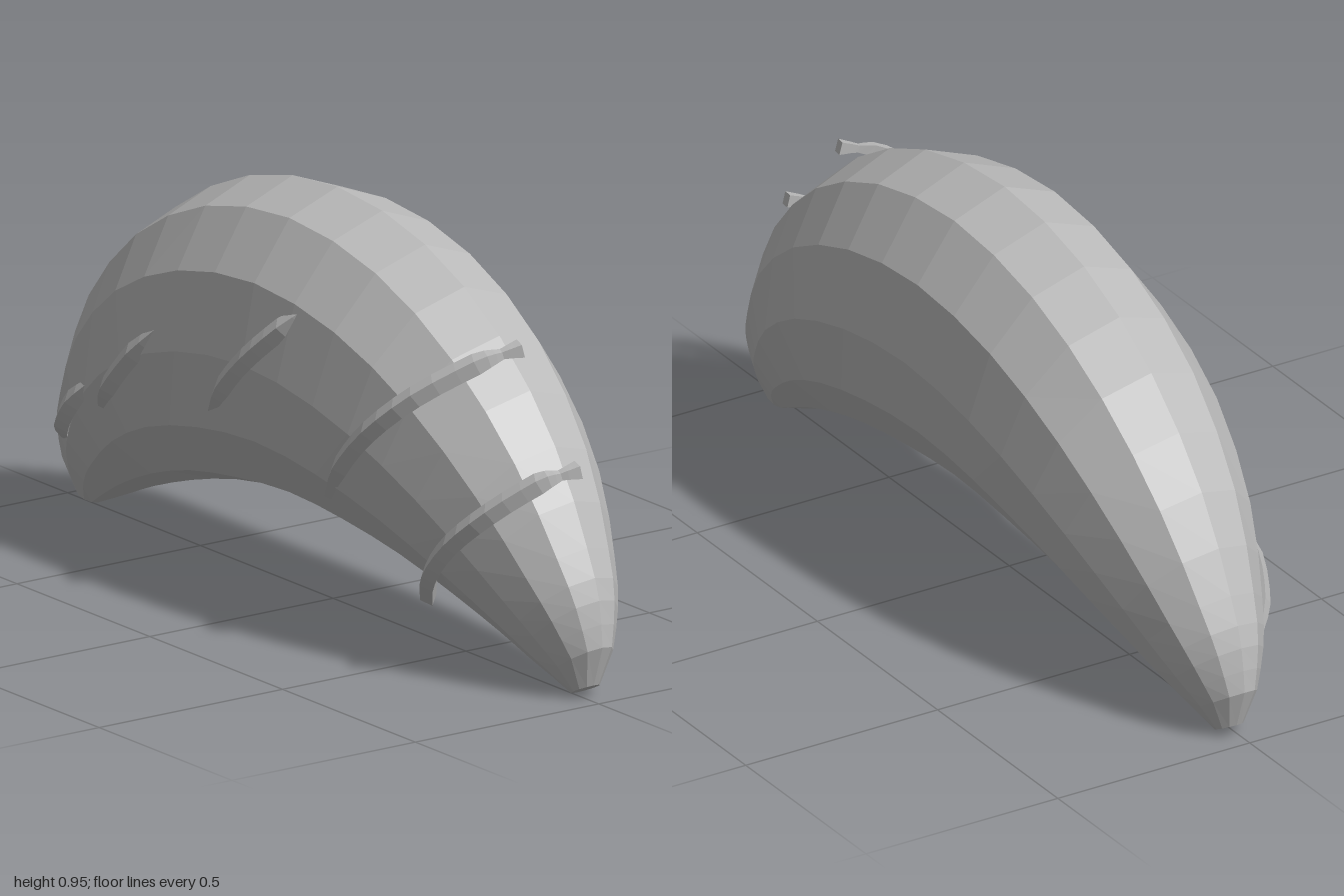
import * as THREE from 'three';

const grey = new THREE.MeshStandardMaterial({ color: 0xbababa, flatShading: true });
grey.name = 'plain grey';

// Skin a list of equal-sized rings and close both ends
function loft(rings) {
  const n = rings[0].length, last = rings.length - 1;
  const pos = [], idx = [];
  rings.forEach(r => r.forEach(p => pos.push(p.x, p.y, p.z)));
  for (let i = 0; i < last; i++) {
    for (let j = 0; j < n; j++) {
      const k = (j + 1) % n;
      const a = i * n + j, b = i * n + k, c = a + n, d = b + n;
      idx.push(a, b, c, b, d, c);
    }
  }
  for (let j = 1; j < n - 1; j++) {
    idx.push(0, j + 1, j);
    idx.push(last * n, last * n + j, last * n + j + 1);
  }
  const g = new THREE.BufferGeometry();
  g.setAttribute('position', new THREE.Float32BufferAttribute(pos, 3));
  g.setIndex(idx);
  const flat = g.toNonIndexed();
  flat.computeVertexNormals();
  return flat;
}

function makeMesh(name, geometry) {
  const m = new THREE.Mesh(geometry, grey);
  m.name = name;
  return m;
}

// Crescent body: outer x, outer y, inner x, inner y, half depth, from middle to tip
const BODY_Z = -0.012;
const HALF = [
  [0, 0.95, 0, 0.22, 0.262],
  [0.33, 0.897, 0.19, 0.208, 0.257],
  [0.61, 0.755, 0.38, 0.183, 0.238],
  [0.82, 0.55, 0.55, 0.14, 0.195],
  [0.94, 0.345, 0.69, 0.092, 0.14],
  [0.985, 0.235, 0.77, 0.058, 0.105],
  [0.998, 0.13, 0.84, 0.028, 0.066],
  [0.965, 0.035, 0.9, 0.003, 0.032],
];

function bodyGeometry() {
  const mirrored = HALF.slice(1).reverse().map(([a, b, c, d, w]) => [-a, b, -c, d, w]);
  const all = [...mirrored, ...HALF];
  const smooth = all.slice(1, -1);
  const spline = f => new THREE.CatmullRomCurve3(smooth.map(f), false, 'catmullrom', 0.5);
  const outer = spline(s => new THREE.Vector3(s[0], s[1], s[4]));
  const inner = spline(s => new THREE.Vector3(s[2], s[3], s[4]));
  const stations = [all[0]];
  const steps = (smooth.length - 1) * 2;
  for (let i = 0; i <= steps; i++) {
    const o = outer.getPoint(i / steps), n = inner.getPoint(i / steps);
    stations.push([o.x, o.y, n.x, n.y, o.z]);
  }
  stations.push(all[all.length - 1]);
  return loft(stations.map(([ox, oy, ix, iy, w]) => {
    const ring = [];
    for (let j = 0; j < 12; j++) {
      const a = j * Math.PI / 6, k = (1 + Math.cos(a)) / 2;
      ring.push(new THREE.Vector3(ix + (ox - ix) * k, iy + (oy - iy) * k, BODY_Z + w * Math.sin(a)));
    }
    return ring;
  }));
}

// Diagonal ridge with a diamond section: each point is x, y, z, thickness
function ridgeGeometry(points) {
  const path = new THREE.CatmullRomCurve3(points.map(p => new THREE.Vector3(p[0], p[1], p[2])), false, 'catmullrom', 0.5);
  const a = points[0], b = points[points.length - 1];
  const side = new THREE.Vector3(a[1] - b[1], b[0] - a[0], 0).normalize();
  const steps = (points.length - 1) * 3, rings = [];
  for (let i = 0; i <= steps; i++) {
    const t = i / steps, f = t * (points.length - 1);
    const s = Math.min(Math.floor(f), points.length - 2);
    const size = THREE.MathUtils.lerp(points[s][3], points[s + 1][3], f - s);
    const c = path.getPoint(t);
    const out = path.getTangent(t).cross(side).normalize();
    rings.push([0, 1, 2, 3].map(j => c.clone()
      .addScaledVector(side, 0.026 * size * Math.cos(j * Math.PI / 2))
      .addScaledVector(out, 0.022 * size * Math.sin(j * Math.PI / 2))));
  }
  return loft(rings);
}

const RIDGES = [
  [[-0.88, 0.18, 0.09, 0.5], [-0.82, 0.235, 0.143, 1], [-0.74, 0.31, 0.174, 1], [-0.66, 0.38, 0.165, 0.4]],
  [[-0.61, 0.335, 0.19, 0.4], [-0.54, 0.4, 0.222, 1], [-0.43, 0.505, 0.234, 1], [-0.33, 0.6, 0.215, 0.2]],
  [[-0.17, 0.43, 0.21, 0.4], [-0.08, 0.515, 0.242, 1], [0.02, 0.605, 0.252, 1], [0.12, 0.695, 0.226, 1], [0.21, 0.78, 0.17, 0.2]],
  [[0.23, 0.33, 0.178, 0.5], [0.34, 0.43, 0.226, 1], [0.46, 0.54, 0.238, 1], [0.57, 0.64, 0.19, 1],
    [0.655, 0.717, 0.085, 1], [0.677, 0.736, 0.03, 0.5], [0.69, 0.745, -0.012, 0.9]],
  [[0.51, 0.15, 0.11, 0.9], [0.6, 0.235, 0.17, 1], [0.7, 0.33, 0.187, 1], [0.8, 0.42, 0.152, 1],
    [0.877, 0.494, 0.075, 1], [0.897, 0.51, 0.03, 0.5], [0.908, 0.518, -0.012, 0.9]],
];

export function createModel() {
  const model = new THREE.Group();
  model.name = 'crescent';
  model.add(makeMesh('body', bodyGeometry()));
  const ridges = new THREE.Group();
  ridges.name = 'ridges';
  RIDGES.forEach((p, i) => ridges.add(makeMesh('ridge' + (i + 1), ridgeGeometry(p))));
  model.add(ridges);
  return model;
}
